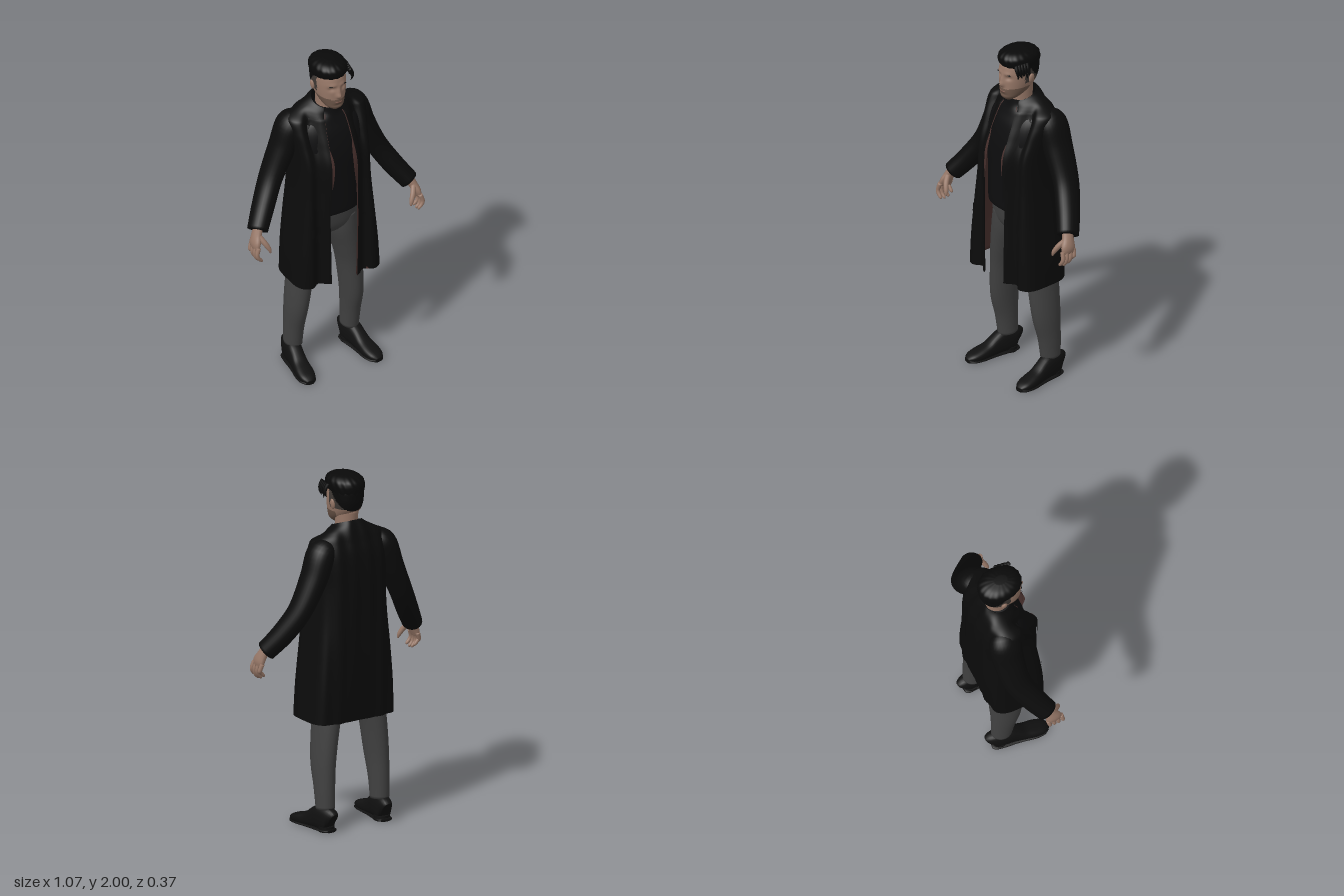
import * as THREE from 'three';

const paint = (name, color, side = THREE.FrontSide) => {
  const m = new THREE.MeshStandardMaterial({ color, side });
  m.name = name;
  return m;
};
const MAT = {
  coat: paint('coat black', 0x0b0b0b),
  lining: paint('lining brown', 0x452e2b, THREE.DoubleSide),
  shirt: paint('shirt black', 0x0d0d0e),
  trousers: paint('trouser grey', 0x414141),
  shoe: paint('shoe black', 0x101010),
  hair: paint('hair black', 0x090909),
  fade: paint('cropped hair', 0x3f3935),
  skin: paint('skin', 0x967767),
  beard: paint('stubble', 0x6b5548),
  lips: paint('lips', 0x7d584d),
};

const V = (x, y, z) => new THREE.Vector3(x, y, z);
const bell = (v, c, w) => Math.exp(-(((v - c) / w) ** 2));
const spow = (v, e) => Math.sign(v) * Math.abs(v) ** e;
const TAU = Math.PI * 2;

// Smoothly subdivides rows of numbers, column by column
function smooth(rows, k) {
  const out = [], at = i => rows[Math.min(Math.max(i, 0), rows.length - 1)];
  for (let i = 0; i < rows.length - 1; i++) {
    for (let s = 0; s < k; s++) {
      const t = s / k;
      out.push(rows[i].map((b, c) => {
        const a = at(i - 1)[c], d = at(i + 1)[c], e = at(i + 2)[c];
        return 0.5 * (2 * b + (d - a) * t + (2 * a - 5 * b + 4 * d - e) * t * t + (3 * b - a - 3 * d + e) * t ** 3);
      }));
    }
  }
  out.push(at(rows.length - 1));
  return out;
}

// Skin over rings of points; pick chooses a material per quad
function loft(name, mats, rings, { closed = true, caps = true, pick = () => 0 } = {}) {
  mats = [].concat(mats);
  const n = rings[0].length, pts = rings.flat(), faces = mats.map(() => []);
  for (let i = 0; i < rings.length - 1; i++) {
    for (let j = 0; j < (closed ? n : n - 1); j++) {
      const k = (j + 1) % n, a = i * n + j, b = i * n + k, c = b + n, d = a + n;
      const mid = pts[a].clone().add(pts[c]).multiplyScalar(0.5);
      faces[pick(mid, j)].push(a, b, c, a, c, d);
    }
  }
  if (caps && closed) {
    [0, rings.length - 1].forEach((r, end) => {
      const c = pts.length;
      pts.push(rings[r].reduce((s, p) => s.add(p), V(0, 0, 0)).divideScalar(n));
      for (let j = 0; j < n; j++) {
        const a = r * n + j, b = r * n + (j + 1) % n;
        faces[pick(pts[c], j)].push(...(end ? [a, b, c] : [b, a, c]));
      }
    });
  }
  const geo = new THREE.BufferGeometry().setFromPoints(pts);
  geo.setIndex(faces.flat());
  let start = 0;
  if (mats.length > 1) faces.forEach((f, i) => { geo.addGroup(start, f.length, i); start += f.length; });
  geo.computeVertexNormals();
  const mesh = new THREE.Mesh(geo, mats.length > 1 ? mats : mats[0]);
  mesh.name = name;
  return mesh;
}

// Point on a level section [y, half width, front z, back z, squareness]
function bodyPoint([y, rx, zf, zb, n], t) {
  return V(rx * spow(Math.sin(t), 2 / n), y, (zf + zb) / 2 + (zf - zb) / 2 * spow(Math.cos(t), 2 / n));
}
function body(name, mats, rows, { k = 5, seg = 48, warp = p => p, pick } = {}) {
  const rings = smooth(rows, k).map(r => Array.from({ length: seg }, (_, j) => warp(bodyPoint(r, j / seg * TAU), j / seg * TAU)));
  return loft(name, mats, rings, { pick });
}

// Tapered limb along rows [x, y, z, side radius, radius toward ref]
function limb(name, mat, rows, { k = 4, seg = 20, ref = V(0, 0, 1), n = 2 } = {}) {
  const path = smooth(rows, k), pos = path.map(r => V(r[0], r[1], r[2]));
  return loft(name, mat, path.map((r, i) => {
    const d = pos[Math.min(i + 1, pos.length - 1)].clone().sub(pos[Math.max(i - 1, 0)]).normalize();
    const v = ref.clone().addScaledVector(d, -ref.dot(d)).normalize(), u = d.clone().cross(v);
    return Array.from({ length: seg }, (_, j) => {
      const t = j / seg * TAU;
      const p = pos[i].clone().addScaledVector(u, r[3] * spow(Math.sin(t), 2 / n)).addScaledVector(v, r[4] * spow(Math.cos(t), 2 / n));
      p.y = Math.max(p.y, 0);
      return p;
    });
  }));
}
const mirrorRows = (rows, s) => rows.map(([x, ...rest]) => [x * s, ...rest]);

function blob(name, mat, x, y, z, rx, ry, rz, tilt = 0) {
  const m = new THREE.Mesh(new THREE.SphereGeometry(1, 16, 12), mat);
  m.name = name;
  m.position.set(x, y, z);
  m.scale.set(rx, ry, rz);
  m.rotation.z = tilt;
  return m;
}

// Coat sections: y, half width, front z, back z, squareness, half opening
const COAT = smooth([
  [0.62, 0.265, 0.178, -0.162, 4.2, 0.08], [0.8, 0.255, 0.18, -0.17, 4, 0.084],
  [1.0, 0.238, 0.18, -0.177, 3.6, 0.087], [1.2, 0.222, 0.18, -0.18, 3.2, 0.086],
  [1.38, 0.216, 0.178, -0.182, 3, 0.084], [1.5, 0.226, 0.135, -0.178, 2.8, 0.08],
  [1.58, 0.238, 0.1, -0.168, 2.5, 0.076], [1.645, 0.232, 0.072, -0.148, 2.2, 0.068],
  [1.69, 0.165, 0.06, -0.132, 2.1, 0.06], [1.73, 0.105, 0.056, -0.115, 2, 0.052],
  [1.75, 0.085, 0.052, -0.104, 2, 0.048]], 8);
const coatAngle = (r, x) => Math.asin(Math.min(1, Math.abs(x) / r[1]) ** (r[4] / 2));
function coatPoint(r, t, scale = 1) {
  const p = bodyPoint(r, t), cz = (r[2] + r[3]) / 2;
  if (p.z > cz) p.z -= 0.042 * bell(Math.abs(p.x), 0.14, 0.035) * Math.min(1, (p.z - cz) / 0.1);
  else p.z += 0.004 * Math.cos(p.x * 70) * Math.min(1, (cz - p.z) / 0.1);
  if (p.y > 1.64) p.y -= (p.y - 1.64) * 0.5 * (p.z + 0.1) / 0.15;
  return V(p.x * scale, p.y, cz + (p.z - cz) * scale);
}

function makeCoat() {
  const g = new THREE.Group(), seg = 96;
  g.name = 'overcoat';
  // Thin shell, open at the front, with its lining inside
  g.add(loft('coatShell', [MAT.coat, MAT.lining], COAT.map((r, i) => {
    const t0 = coatAngle(r, r[5]), inner = i === 0 || i === COAT.length - 1 ? 1 : 0.955;
    const row = k => Array.from({ length: seg + 1 }, (_, j) => coatPoint(r, t0 + (TAU - 2 * t0) * j / seg, k));
    return [...row(1), ...row(inner).reverse()];
  }), { caps: false, pick: (p, j) => (j > seg && p.y < 1.5 ? 1 : 0) }));
  // Thin strips laid on the coat front
  const strip = (name, mat, y0, y1, s, from, to, lift) => {
    const rows = COAT.filter(r => r[0] >= y0 && r[0] <= y1);
    g.add(loft(name, mat, rows.map((r, i) => {
      const f = i / (rows.length - 1), a = from(r, f), b = to(r, f);
      const ring = Array.from({ length: 7 }, (_, j) => {
        const p = coatPoint(r, coatAngle(r, a + (b - a) * j / 6));
        return V(p.x * s, p.y, p.z + lift);
      });
      return s > 0 ? ring : ring.reverse();
    }), { closed: false }));
  };
  for (const s of [1, -1]) {
    strip('lapel', MAT.coat, 1.12, 1.66, s, r => r[5] - 0.004, (r, f) => r[5] + 0.075 * Math.min(1, f * 1.3), 0.008);
    strip('liningEdge', MAT.lining, 1.18, 1.5, s, (r, f) => r[5] - 0.005 - 0.02 * Math.sin(f * Math.PI), r => r[5], -0.004);
    strip('liningPiping', MAT.lining, 1.48, 1.7, s, r => r[5] - 0.008, r => r[5] - 0.002, 0.002);
    strip('pocketFlap', MAT.coat, 0.93, 1.0, s, () => 0.13, () => 0.2, 0.006);
    // Sleeve
    g.add(limb('sleeve', MAT.coat, mirrorRows([
      [0.15, 1.615, -0.06, 0.05, 0.06], [0.2, 1.583, -0.07, 0.074, 0.09], [0.25, 1.45, -0.073, 0.071, 0.088],
      [0.33, 1.28, -0.06, 0.061, 0.077], [0.405, 1.15, -0.01, 0.059, 0.07],
      [0.478, 1.045, 0.052, 0.054, 0.062]], s), { k: 6, seg: 28 }));
  }
  return g;
}

function makeHand(s) {
  const g = new THREE.Group();
  g.name = s > 0 ? 'leftHand' : 'rightHand';
  const part = (name, rows) => g.add(limb(name, MAT.skin, mirrorRows(rows, s), { seg: 12 }));
  part('palm', [[0.47, 1.07, 0.05, 0.026, 0.032], [0.492, 1.025, 0.064, 0.025, 0.036],
    [0.508, 0.985, 0.077, 0.022, 0.046], [0.513, 0.955, 0.081, 0.013, 0.042]]);
  for (let f = 0; f < 4; f++) {
    const z = 0.042 + f * 0.026, drop = [0.02, 0.004, 0, 0.008][f];
    part('finger', [[0.51, 0.975, z, 0.013, 0.013], [0.522, 0.938, z + 0.005, 0.012, 0.012],
      [0.516, 0.908 + drop, z + 0.008, 0.011, 0.011], [0.498, 0.888 + drop, z + 0.008, 0.009, 0.009],
      [0.491, 0.882 + drop, z + 0.008, 0.004, 0.004]]);
  }
  part('thumb', [[0.488, 1.025, 0.085, 0.016, 0.016], [0.467, 0.99, 0.115, 0.015, 0.015],
    [0.449, 0.955, 0.13, 0.012, 0.012], [0.443, 0.932, 0.135, 0.005, 0.005]]);
  return g;
}

function makeShoe(s) {
  const g = new THREE.Group();
  g.name = s > 0 ? 'leftShoe' : 'rightShoe';
  // z, half width, height
  const plan = [[-0.145, 0.026, 0.12], [-0.125, 0.042, 0.138], [-0.06, 0.046, 0.142], [-0.015, 0.044, 0.118],
    [0.04, 0.046, 0.082], [0.1, 0.05, 0.062], [0.15, 0.042, 0.046], [0.178, 0.02, 0.026]];
  const rows = (h, grow) => mirrorRows(plan.map(([z, w, top]) => [0.178 + 0.125 * (z + 0.14), h(top) / 2, z, w + grow, h(top) / 2]), s);
  const opt = { ref: V(0, 1, 0), n: 2.6, seg: 28 };
  g.add(limb('upper', MAT.shoe, rows(t => t, 0), opt));
  g.add(limb('sole', MAT.shoe, rows(() => 0.018, 0.004), opt));
  const heel = new THREE.Mesh(new THREE.CylinderGeometry(0.045, 0.045, 0.03, 24), MAT.shoe);
  heel.name = 'heel';
  heel.position.set(0.182 * s, 0.015, -0.095);
  g.add(heel);
  return g;
}

function makeHead() {
  const g = new THREE.Group();
  g.name = 'head';
  g.add(body('neck', MAT.skin, [[1.6, 0.07, 0.04, -0.1, 2], [1.68, 0.06, 0.045, -0.088, 2], [1.8, 0.062, 0.05, -0.095, 2]]));
  // Skull with nose, brow, eye sockets and mouth raised by rule
  const face = p => {
    if (p.z < 0.03) return p;
    const x = Math.abs(p.x), y = p.y;
    p.z += 0.023 * bell(x, 0, 0.014) * bell(y, 1.81, 0.018) + 0.013 * bell(x, 0, 0.012) * bell(y, 1.84, 0.022)
      - 0.011 * bell(x, 0.035, 0.018) * bell(y, 1.852, 0.013) + 0.005 * bell(x, 0.03, 0.025) * bell(y, 1.877, 0.012)
      + 0.006 * bell(x, 0, 0.025) * bell(y, 1.767, 0.013) - 0.004 * bell(x, 0, 0.03) * bell(y, 1.745, 0.007);
    return p;
  };
  const region = p => {
    if (p.z < -0.015 && p.y > Math.min(1.895, 1.8 - (p.z + 0.1) * -1.1)) return 3;
    if (p.z < 0.02 && p.y > 1.81) return 2;
    if (p.z > -0.02 && p.y < 1.788 - Math.max(0, p.z - 0.09) * 0.3) return 1;
    return 0;
  };
  g.add(body('skull', [MAT.skin, MAT.beard, MAT.fade, MAT.hair], [
    [1.708, 0.025, 0.09, 0.03, 2], [1.73, 0.052, 0.11, -0.01, 2.1], [1.76, 0.069, 0.11, -0.06, 2.2],
    [1.8, 0.08, 0.11, -0.1, 2.3], [1.84, 0.086, 0.111, -0.12, 2.3], [1.88, 0.089, 0.11, -0.127, 2.2],
    [1.92, 0.087, 0.102, -0.126, 2.1], [1.96, 0.07, 0.075, -0.1, 2], [1.985, 0.03, 0.03, -0.05, 2]],
    { k: 7, seg: 96, warp: face, pick: region }));
  for (const s of [1, -1]) {
    g.add(blob('ear', MAT.skin, 0.09 * s, 1.836, -0.02, 0.01, 0.03, 0.018, -0.15 * s));
    g.add(blob('eyebrow', MAT.hair, 0.036 * s, 1.873, 0.101, 0.018, 0.0035, 0.006, -0.08 * s));
    g.add(blob('eye', MAT.fade, 0.036 * s, 1.852, 0.087, 0.011, 0.004, 0.005));
  }
  g.add(blob('mouth', MAT.lips, 0, 1.766, 0.112, 0.022, 0.005, 0.005));
  // Swept hair with wavy strands
  g.add(body('hair', MAT.hair, [
    [1.9, 0.087, 0.085, -0.127, 2.1], [1.92, 0.094, 0.107, -0.131, 2.1], [1.945, 0.098, 0.117, -0.131, 2.1],
    [1.97, 0.092, 0.112, -0.119, 2.1], [1.99, 0.068, 0.085, -0.085, 2], [2.0, 0.025, 0.035, -0.035, 2]],
    { seg: 96, warp: (p, t) => {
      const f = 1 + 0.014 * Math.sin(t * 17 + p.y * 60);
      return V(p.x * f, p.y, p.z * f);
    } }));
  for (let i = 0; i < 5; i++) {
    const z = 0.085 - i * 0.017, x = 0.082 + i * 0.003;
    g.add(limb('looseLock', MAT.hair, [[x, 1.945, z, 0.012, 0.014], [x + 0.016, 1.915, z + 0.004, 0.01, 0.012],
      [x + 0.02, 1.885, z, 0.006, 0.007], [x + 0.012 + (i % 2) * 0.012, 1.862 + (i % 3) * 0.008, z - 0.004, 0.001, 0.001]], { seg: 8 }));
  }
  return g;
}

export function createModel() {
  const man = new THREE.Group();
  man.name = 'manInOvercoat';
  man.add(makeCoat(), makeHead());
  man.add(body('shirt', MAT.shirt, [
    [1.03, 0.175, 0.122, -0.14, 2.5], [1.06, 0.18, 0.13, -0.145, 2.5], [1.25, 0.185, 0.13, -0.15, 2.5],
    [1.42, 0.19, 0.13, -0.15, 2.5], [1.54, 0.19, 0.108, -0.145, 2.4], [1.61, 0.17, 0.078, -0.13, 2.2],
    [1.655, 0.085, 0.06, -0.105, 2], [1.695, 0.068, 0.053, -0.093, 2]]));
  man.add(body('trouserHips', MAT.trousers, [
    [0.87, 0.12, 0.05, -0.11, 2.2], [0.92, 0.172, 0.085, -0.135, 2.4], [1.0, 0.175, 0.1, -0.138, 2.5], [1.06, 0.168, 0.105, -0.13, 2.5]]));
  for (const s of [1, -1]) {
    man.add(limb('trouserLeg', MAT.trousers, mirrorRows([
      [0.178, 0.125, -0.08, 0.05, 0.06], [0.178, 0.25, -0.07, 0.054, 0.071], [0.173, 0.4, -0.052, 0.061, 0.09],
      [0.152, 0.6, -0.045, 0.068, 0.1], [0.125, 0.74, -0.035, 0.079, 0.106],
      [0.096, 0.87, -0.025, 0.09, 0.108], [0.085, 0.97, -0.02, 0.084, 0.105]], s), { k: 6, seg: 32 }));
    man.add(makeShoe(s), makeHand(s));
  }
  return man;
}
